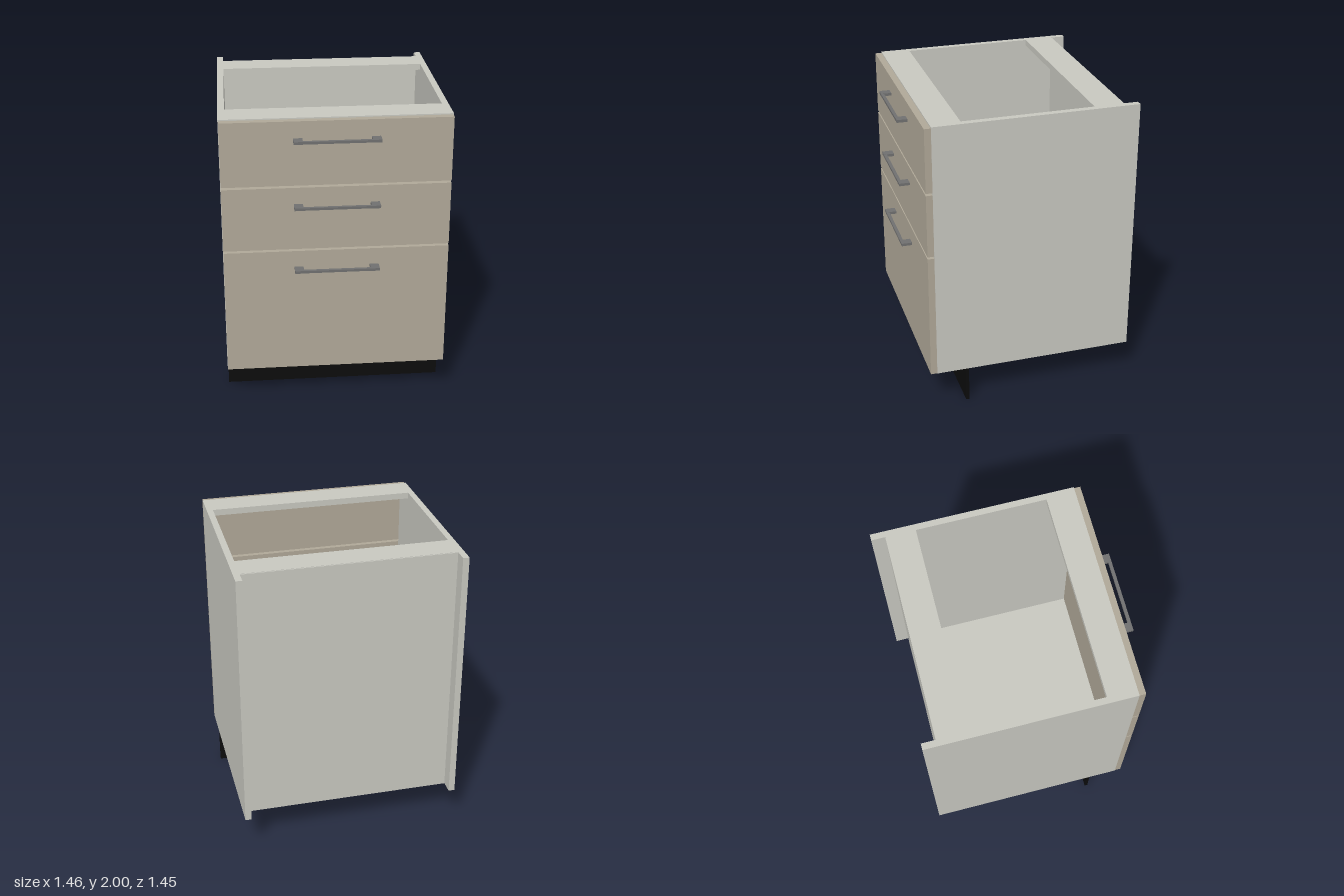
import * as THREE from 'three';

export function createModel() {
  const model = new THREE.Group();
  model.name = 'drawerCabinet';

  const material = (name, color) => {
    const m = new THREE.MeshStandardMaterial({ color });
    m.name = name;
    return m;
  };
  const carcass = material('pale grey board', 0xc8c8c0);
  const facing = material('beige front', 0xb0a898);
  const metal = material('grey metal', 0x707070);
  const black = material('black plinth', 0x0c0c0c);

  // Box given by its lower and upper limits on each axis
  const box = (name, mat, [x0, x1], [y0, y1], [z0, z1], parent = model) => {
    const mesh = new THREE.Mesh(new THREE.BoxGeometry(x1 - x0, y1 - y0, z1 - z0), mat);
    mesh.position.set((x0 + x1) / 2, (y0 + y1) / 2, (z0 + z1) / 2);
    mesh.name = name;
    parent.add(mesh);
  };

  const base = 0.249, top = 2, board = 0.042;
  const outer = 0.731, inner = outer - board;
  const back = -0.727, front = 0.615, face = 0.658, reach = 0.727;
  const across = [-inner, inner];

  // Carcass: sides, bottom, inset back and two open-top rails
  box('leftSide', carcass, [inner, outer], [base, top], [back, front]);
  box('rightSide', carcass, [-outer, -inner], [base, top], [back, front]);
  box('bottomPanel', carcass, across, [base, base + board], [-0.629, front]);
  box('backPanel', carcass, across, [base, top - 0.002], [-0.636, -0.629]);
  box('backRail', carcass, across, [top - board, top], [-0.629, -0.437]);
  box('frontRail', carcass, across, [top - board, top], [0.422, front]);

  // Recessed plinth
  box('plinth', black, [-0.728, 0.728], [0, base], [0.398, 0.42]);

  // Drawer fronts, each with a bar handle: [bottom, top, handle height]
  const drawers = [[1.567, 1.992, 1.873], [1.127, 1.552, 1.432], [base, 1.112, 0.992]];
  for (const [y0, y1, h] of drawers) {
    const drawer = new THREE.Group();
    drawer.name = 'drawer';
    model.add(drawer);
    box('drawerFront', facing, [-0.728, 0.728], [y0, y1], [front, face], drawer);

    const handle = new THREE.Group();
    handle.name = 'handle';
    drawer.add(handle);
    const thick = [h - 0.009, h + 0.009];
    box('leftFoot', metal, [0.215, 0.273], thick, [face, reach], handle);
    box('rightFoot', metal, [-0.273, -0.215], thick, [face, reach], handle);
    box('gripBar', metal, [-0.215, 0.215], [h - 0.008, h + 0.008], [0.706, reach], handle);
  }

  return model;
}
